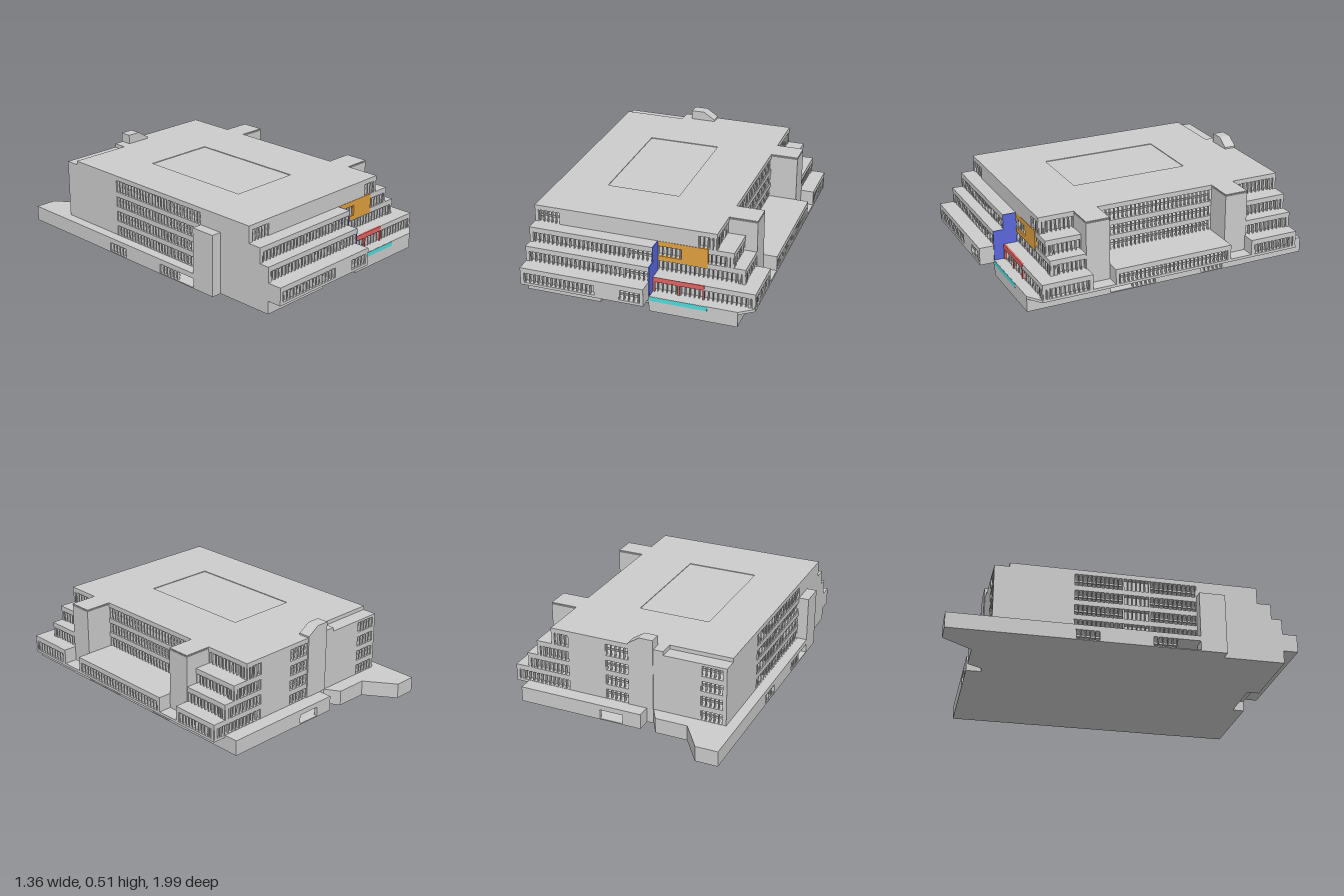
import * as THREE from 'three';

const mat = (color) => new THREE.MeshStandardMaterial({ color, flatShading: true });
const grey = mat(0xcccccc);

// Storeys: floor, window head, top of band
const LEVELS = [
  [0, 0.06, 0.09], [0.09, 0.15, 0.18], [0.18, 0.24, 0.27], [0.27, 0.33, 0.36], [0.36, 0.43, 0.46],
];
const BACK = -0.745;

export function createModel() {
  const model = new THREE.Group();

  const add = (parent, name, geometry, material = grey) => {
    const mesh = new THREE.Mesh(geometry, material);
    mesh.name = name;
    parent.add(mesh);
    return mesh;
  };

  // Box given by its extents
  const block = (name, x0, x1, y0, y1, z0, z1, material) => {
    const mesh = add(model, name, new THREE.BoxGeometry(x1 - x0, y1 - y0, z1 - z0), material);
    mesh.position.set((x0 + x1) / 2, (y0 + y1) / 2, (z0 + z1) / 2);
  };

  // Horizontal slab from a plan outline of [x, z], with an optional hole
  const slab = (name, outline, y0, y1, hole) => {
    const plan = (points) => points.map(([x, z]) => new THREE.Vector2(x, -z));
    const shape = new THREE.Shape(plan(outline));
    if (hole) shape.holes.push(new THREE.Path(plan(hole)));
    const geo = new THREE.ExtrudeGeometry(shape, { depth: y1 - y0, bevelEnabled: false });
    geo.rotateX(-Math.PI / 2);
    add(model, name, geo).position.y = y0;
  };

  // One facade stretch, seen from outside left to right: wall, window or open
  const facade = (level, kind, x0, z0, x1, z1) => {
    const [y0, y1] = LEVELS[level];
    const h = y1 - y0;
    const len = Math.hypot(x1 - x0, z1 - z0);
    const g = new THREE.Group();
    g.name = kind === 'wall' ? 'wallPanel' : 'windowRow';
    g.position.set(x0, y0 + h / 2, z0);
    g.rotation.y = Math.atan2(z0 - z1, x1 - x0);
    model.add(g);
    if (kind === 'wall') {
      add(g, 'wall', new THREE.BoxGeometry(len, h, 0.02)).position.set(len / 2, 0, -0.01);
      return;
    }
    if (kind === 'window') {
      add(g, 'recessedWall', new THREE.BoxGeometry(len, h, 0.01)).position.set(len / 2, 0, -0.035);
    } else {
      add(g, 'windowRail', new THREE.BoxGeometry(len, 0.012, 0.008)).position.set(len / 2, 0, -0.02);
    }
    const n = Math.max(2, Math.round(len / 0.026));
    const bar = new THREE.BoxGeometry(0.005, h, 0.016);
    for (let i = 0; i <= n; i++) {
      add(g, 'mullion', bar).position.set(0.0025 + (len - 0.005) * i / n, 0, -0.012);
    }
  };

  // Chain of stretches along the front (+x) or back (-x): [kind, endX]
  const chainX = (level, z, start, parts) => {
    let x = start;
    for (const [kind, end] of parts) {
      if (kind !== 'gap') facade(level, kind, x, z, end, z);
      x = end;
    }
  };
  // Chain along the right (-z) or left (+z) side: [kind, endZ]
  const chainZ = (level, x, start, parts) => {
    let z = start;
    for (const [kind, end] of parts) {
      if (kind !== 'gap') facade(level, kind, x, z, x, end);
      z = end;
    }
  };

  // Ground storey, with the entrance recessed at the front
  const rest = [
    [0.6, 0.9], [0.6, -0.83], [-0.15, -0.83], [-0.15, BACK], [-0.19, BACK], [-0.24, -0.83],
    [-0.43, -0.83], [-0.55, -1], [-0.68, -1], [-0.68, 0.55], [-0.62, 0.55], [-0.62, 0.9],
  ];
  slab('groundSlab', [[-0.18, 0.9], [-0.18, 0.83], [0.1, 0.83], [0.1, 0.9], ...rest], 0, 0.006);
  slab('groundBand', rest, 0.06, 0.09);
  chainX(0, 0.9, -0.62, [['wall', -0.18], ['gap', 0.1], ['wall', 0.6]]);
  chainX(0, 0.83, -0.18, [['wall', -0.04]]);
  chainZ(0, -0.18, 0.9, [['wall', 0.83]]);
  chainZ(0, 0.1, 0.83, [['wall', 0.9]]);
  chainZ(0, 0.6, 0.9, [['wall', 0.41], ['gap', 0.27], ['open', 0.13], ['wall', -0.16],
    ['open', -0.3], ['wall', -0.83]]);
  chainX(0, -0.83, 0.6, [['wall', 0.1], ['gap', -0.04], ['wall', -0.15]]);
  // Remaining ground walls follow the band outline around the back left corner
  for (let i = 2; i < 8; i++) facade(0, 'wall', ...rest[i], ...rest[i + 1]);
  chainZ(0, -0.68, -1, [['wall', -0.3], ['open', -0.16], ['wall', 0.13], ['open', 0.27], ['gap', 0.4], ['wall', 0.55]]);
  chainZ(0, -0.62, 0.55, [['wall', 0.9]]);

  // First floor: wide terrace slab, band cut back at the side towers
  slab('firstFloorSlab', [[-0.62, 0.985], [0.1, 0.985], [0.1, 0.9], [0.6, 0.9], [0.68, 0.84],
    [0.68, BACK], [-0.62, BACK]], 0.076, 0.092);
  slab('firstFloorBand', [[-0.62, 0.985], [0.1, 0.985], [0.1, 0.84], [0.68, 0.84], [0.68, 0.545], [0.6, 0.545],
    [0.6, 0.41], [0.68, 0.41], [0.68, -0.31], [0.6, -0.31], [0.6, -0.445], [0.68, -0.445],
    [0.68, BACK], [-0.62, BACK]], 0.15, 0.18);
  chainX(1, 0.985, -0.62, [['window', -0.18], ['wall', -0.04], ['open', 0.1]]);
  chainX(1, 0.84, 0.1, [['window', 0.68]]);
  chainZ(1, 0.1, 0.985, [['wall', 0.84]]);
  chainZ(1, 0.68, 0.84, [['window', 0.545], ['gap', 0.41], ['open', -0.31], ['gap', -0.445], ['window', BACK]]);
  for (const z of [0.41, -0.445]) chainX(1, z, 0.6, [['wall', 0.68]]);
  for (const z of [0.545, -0.31]) chainX(1, z, 0.68, [['wall', 0.6]]);

  // Upper floors step back: [level, front left z, right x]
  for (const [level, zl, xr] of [[2, 0.9, 0.6], [3, 0.84, 0.535]]) {
    const [, y1, y2] = LEVELS[level];
    slab('terraceBand', [[-0.62, zl], [0.1, zl], [0.1, 0.76], [xr, 0.76], [xr, 0.48], [0.44, 0.48],
      [0.44, -0.38], [xr, -0.38], [xr, BACK], [-0.62, BACK]], y1, y2);
    chainX(level, zl, -0.62, [['window', -0.04], ['open', 0.1]]);
    chainX(level, 0.76, 0.1, [['window', xr]]);
    chainZ(level, xr, 0.76, [['window', 0.55]]);
    chainZ(level, xr, -0.45, [['window', BACK]]);
    chainZ(level, 0.44, 0.41, [['open', -0.3]]);
  }

  // Top floor and roof, with a notch at the back and a shallow sunken panel
  slab('roof', [[-0.62, 0.76], [0.44, 0.76], [0.44, BACK], [-0.25, BACK], [-0.25, -0.66], [-0.62, -0.66]],
    0.43, 0.458, [[-0.33, 0.4], [0.1, 0.4], [0.1, -0.31], [-0.33, -0.31]]);
  block('sunkenRoofPanel', -0.33, 0.1, 0.432, 0.454, -0.31, 0.4);
  block('roofNotchFloor', -0.62, -0.25, 0.42, 0.435, BACK, -0.66);
  chainX(4, 0.76, -0.62, [['open', -0.47], ['wall', 0.335], ['window', 0.44]]);
  chainZ(4, 0.44, 0.76, [['window', 0.55], ['gap', 0.41], ['open', -0.3], ['gap', -0.45], ['window', BACK]]);

  // Back and left walls of the upper storeys
  const rightEdge = [0, 0.68, 0.6, 0.535, 0.44];
  const frontEdge = [0, 0.985, 0.9, 0.84, 0.76];
  for (let i = 1; i <= 4; i++) {
    chainX(i, BACK, rightEdge[i], [['window', 0.33], ['wall', 0.1], ['open', -0.04], ['wall', -0.47],
      ['open', -0.6], ['wall', -0.62]]);
    chainZ(i, -0.62, BACK, [['wall', -0.3], ['open', -0.02], ['window', 0.13],
      ['open', 0.4], ['wall', frontEdge[i]]]);
  }

  // Side towers with thin caps, and the left buttress
  for (const [z0, z1] of [[0.41, 0.55], [-0.45, -0.31]]) {
    block('sideTower', 0.435, 0.602, 0, 0.448, z0, z1);
    block('towerCap', 0.435, 0.602, 0.452, 0.458, z0, z1);
  }
  block('leftButtress', -0.68, -0.61, 0, 0.36, 0.4, 0.55);

  // Stair head with sloped roof above the back wall
  const head = new THREE.Shape([[-0.19, 0.09], [-0.04, 0.09], [-0.04, 0.468], [-0.11, 0.513], [-0.19, 0.513]]
    .map(([x, y]) => new THREE.Vector2(x, y)));
  add(model, 'stairHead', new THREE.ExtrudeGeometry(head, { depth: 0.07, bevelEnabled: false })).position.z = -0.75;

  // Coloured entrance bay
  const orange = mat(0xe0a040), red = mat(0xe06464), cyan = mat(0x55dada);
  block('orangeUpperBand', 0.105, 0.39, 0.33, 0.36, 0.75, 0.762, orange);
  block('orangePanel', 0.24, 0.39, 0.27, 0.33, 0.75, 0.762, orange);
  block('orangeLowerBand', 0.105, 0.39, 0.245, 0.27, 0.75, 0.762, orange);
  block('redBand', 0.105, 0.395, 0.152, 0.18, 0.83, 0.842, red);
  for (const x of [0.105, 0.245, 0.385]) block('redPost', x, x + 0.01, 0.092, 0.152, 0.83, 0.842, red);
  block('cyanBand', 0.105, 0.43, 0.065, 0.091, 0.89, 0.902, cyan);

  // Stepped blue fin beside the bay
  const fin = new THREE.Shape([[0.76, 0.18], [0.84, 0.18], [0.84, 0.092], [0.9, 0.092], [0.9, 0.27],
    [0.84, 0.27], [0.84, 0.36], [0.76, 0.36]].map(([z, y]) => new THREE.Vector2(-z, y)));
  const finMesh = add(model, 'blueFin', new THREE.ExtrudeGeometry(fin, { depth: 0.006, bevelEnabled: false }), mat(0x5a68dc));
  finMesh.rotation.y = Math.PI / 2;
  finMesh.position.x = 0.098;

  return model;
}
